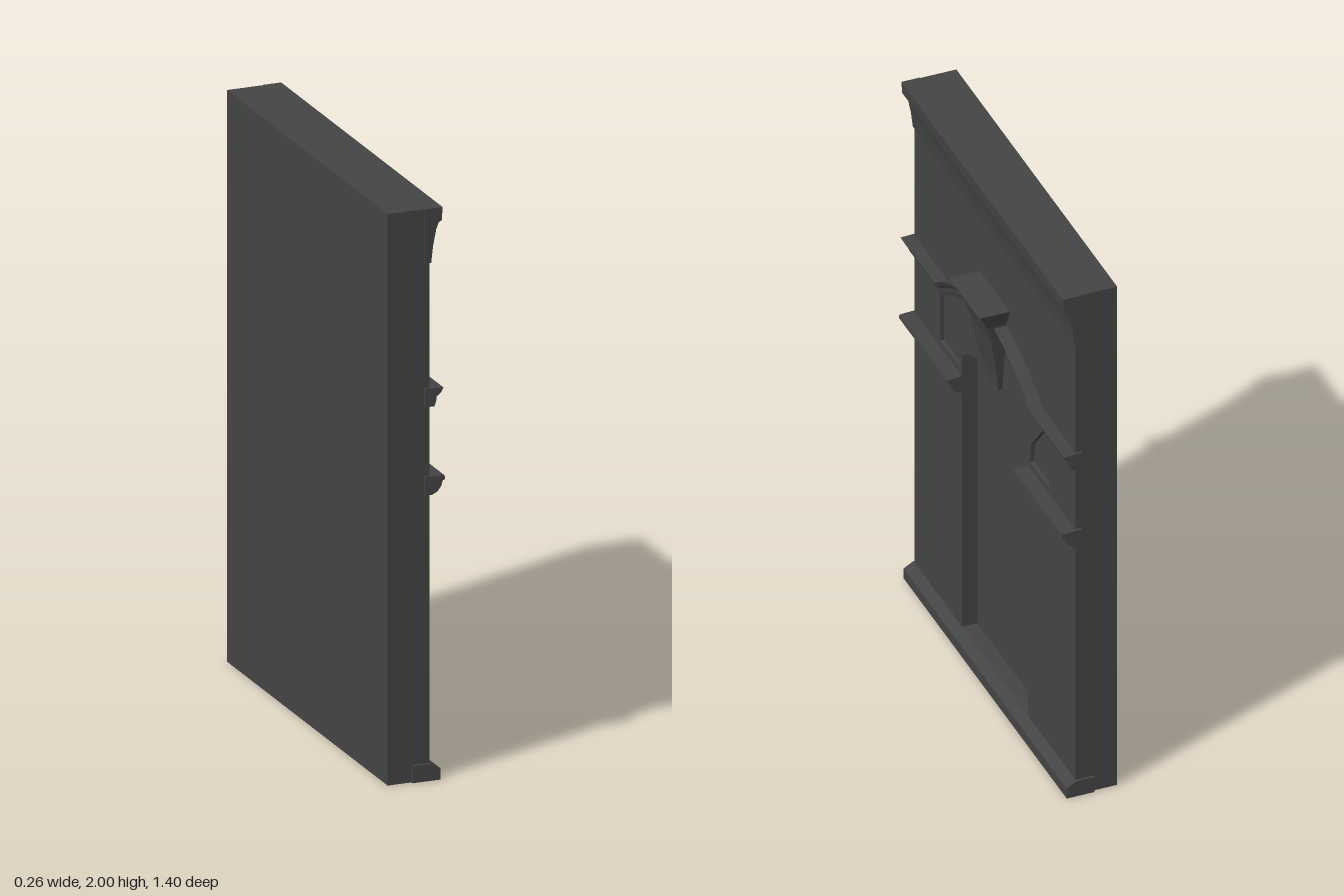
import * as THREE from 'three';

const material = new THREE.MeshStandardMaterial({ color: 0x444444, flatShading: true });
const WALL = 0.02, BACK = -0.13, RECESS = -0.035, HALF = 0.69;

// Joins matching rings of points into a closed solid; contour is the ring in 2D
function loft(rings, contour) {
  const n = contour.length, last = (rings.length - 1) * n, index = [];
  for (let r = 0; r < rings.length - 1; r++) {
    for (let i = 0; i < n; i++) {
      const a = r * n + i, b = r * n + (i + 1) % n;
      index.push(a, b, b + n, a, b + n, a + n);
    }
  }
  for (const [a, b, c] of THREE.ShapeUtils.triangulateShape(contour, [])) {
    index.push(a, c, b, last + a, last + b, last + c);
  }
  const indexed = new THREE.BufferGeometry();
  indexed.setAttribute('position', new THREE.Float32BufferAttribute(rings.flat(2), 3));
  indexed.setIndex(index);
  const geometry = indexed.toNonIndexed();
  geometry.computeVertexNormals();
  return geometry;
}

// Runs an (x, y) profile along a path of (z, y) points with increasing z
function moulding(profile, path) {
  const rings = path.map(([z, y]) => profile.map(([px, py]) => [px, py + y, z]));
  return loft(rings, profile.map(([x, y]) => new THREE.Vector2(x, y)));
}

// Extrudes a (z, y) outline from x0 to x1
function slab(shape, x0, x1) {
  const geometry = new THREE.ExtrudeGeometry(shape, { depth: x1 - x0, bevelEnabled: false });
  return geometry.rotateY(Math.PI / 2).translate(x0, 0, 0);
}

const points = (list, sign = 1) => list.map(([z, y]) => new THREE.Vector2(sign * z, y));

// Wall face with the arched opening cut out of its lower edge
function faceShape() {
  const half = 0.283, spring = 1.15, rise = 0.092;
  const radius = (half * half + rise * rise) / (2 * rise);
  const sweep = Math.asin(half / radius);
  const outline = [[-HALF, 0], [-half, 0]];
  for (let i = 0; i <= 10; i++) {
    const t = -sweep + (2 * sweep * i) / 10;
    outline.push([radius * Math.sin(t), spring + rise - radius * (1 - Math.cos(t))]);
  }
  outline.push([half, 0], [HALF, 0], [HALF, 2], [-HALF, 2]);
  return new THREE.Shape(points(outline));
}

export function createModel() {
  const group = new THREE.Group();
  const add = (name, geometry) => {
    const mesh = new THREE.Mesh(geometry, material);
    mesh.name = name;
    group.add(mesh);
  };

  // Solid back, then the pierced face in two layers
  const backing = new THREE.BoxGeometry(RECESS - BACK, 2, 2 * HALF);
  add('wallBack', backing.translate((RECESS + BACK) / 2, 1, 0));
  add('wallCore', slab(faceShape(), RECESS, 0.006));

  // Outer layer has a sunk panel beside each haunch of the arch
  const face = faceShape();
  const panel = [[0.47, 1.09], [0.47, 1.28], [0.415, 1.29], [0.31, 1.165], [0.302, 1.09]];
  for (const side of [-1, 1]) face.holes.push(new THREE.Path(points(panel, side)));
  add('wallFace', slab(face, 0.006, WALL));

  // Full-width plinth and cornice
  add('plinth', moulding(
    [[RECESS - 0.01, 0], [0.055, 0], [0.055, 0.04], [0.02, 0.06], [RECESS - 0.01, 0.06]],
    [[-0.7, 0], [0.7, 0]]));
  add('cornice', moulding(
    [[0, 1.81], [0.025, 1.81], [0.032, 1.87], [0.043, 1.925], [0.052, 1.948],
      [0.063, 1.955], [0.066, 2], [0, 2]],
    [[-HALF - 0.003, 0], [HALF + 0.003, 0]]));

  // Impost and hood mouldings, mirrored about the opening
  const impost = [[0, 1], [0.025, 1], [0.045, 1.01], [0.058, 1.027], [0.063, 1.045],
    [0.072, 1.05], [0.07, 1.063], [0, 1.066]];
  const hood = [[0, 0], [0.034, 0], [0.04, 0.018], [0.042, 0.034], [0.058, 0.046],
    [0.066, 0.062], [0, 0.065]];
  const hoodPath = [[0.085, 1.452], [0.18, 1.428], [0.29, 1.383], [0.36, 1.345],
    [0.41, 1.309], [0.7, 1.309]];
  for (const side of [1, -1]) {
    const path = (list) => (side > 0 ? list : list.map(([z, y]) => [-z, y]).reverse());
    const label = side > 0 ? 'left' : 'right';
    add(label + 'Impost', moulding(impost, path([[0.283, 0], [0.7, 0]])));
    add(label + 'HoodMould', moulding(hood, path(hoodPath)));
  }

  // Flared keystone: height, half width, front
  const sections = [[1.233, 0.062, 0.034], [1.3, 0.073, 0.044], [1.37, 0.083, 0.058],
    [1.45, 0.093, 0.072], [1.52, 0.102, 0.093], [1.55, 0.115, 0.106], [1.585, 0.13, 0.13]];
  const rings = sections.map(([y, h, f]) => [[0, y, -h], [0, y, h], [f, y, h], [f, y, -h]]);
  add('keystone', loft(rings, points([[-1, 0], [1, 0], [1, 1], [-1, 1]])));

  return group;
}
